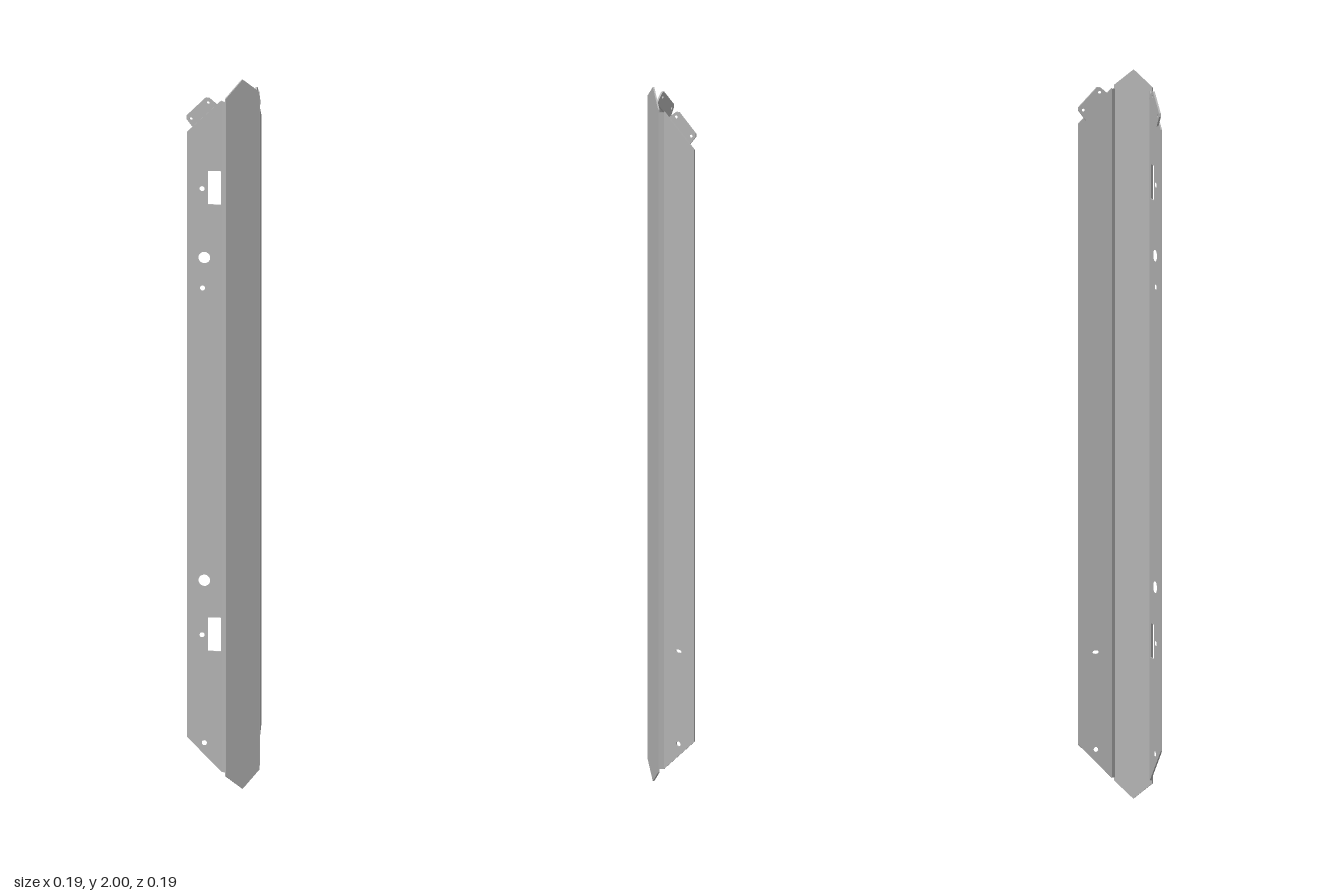
import * as THREE from 'three';

const T = 0.004; // sheet thickness

export function createModel() {
  const model = new THREE.Group();
  const steel = new THREE.MeshStandardMaterial({ color: 0xb2b2b2 });
  steel.name = 'sheet steel grey';

  const add = (parent, name, geometry) => {
    const mesh = new THREE.Mesh(geometry, steel);
    mesh.name = name;
    parent.add(mesh);
    return mesh;
  };
  const outline = pts => new THREE.Shape(pts.map(p => new THREE.Vector2(...p)));
  // Flat sheet centred on the plane z
  const sheet = (shape, z, depth = T) =>
    new THREE.ExtrudeGeometry(shape, { depth, bevelEnabled: false, curveSegments: 10 }).translate(0, 0, z - depth / 2);
  const ellipse = (x, y, rx, ry = rx) => new THREE.Path().absellipse(x, y, rx, ry, 0, Math.PI * 2, true);
  const rect = (x0, y0, x1, y1) => new THREE.Path([[x0, y0], [x1, y0], [x1, y1], [x0, y1]].map(p => new THREE.Vector2(...p)));

  // Diagonal centre panel with pointed ends
  const hw = 0.0575;
  const panel = add(model, 'centrePanel', sheet(outline([
    [-hw, 0.045], [0, 0], [hw, 0.045], [hw, 1.955], [0, 2], [-hw, 1.955],
  ]), 0));
  panel.rotation.y = Math.PI / 4;
  panel.position.set(0.0523, 0, 0.0523);

  // Side wing: flange, joggle strip and corner tab; s is the side it extends to
  const wing = (name, s, holes) => {
    const group = new THREE.Group();
    group.name = name;

    const flange = outline([[0, 0.055], [s * 0.095, 0.15], [s * 0.095, 1.855], [0, 1.948]]);
    flange.holes.push(...holes);
    add(group, 'flange', sheet(flange, 0.083));

    // Short bend joining flange to centre panel
    const dx = -s * 0.0125, dz = 0.0095;
    const bend = add(group, 'bendStrip', new THREE.BoxGeometry(Math.hypot(dx, dz) + 0.002, 1.89, T));
    bend.position.set(dx / 2, 1.0, 0.083 + dz / 2);
    bend.rotation.y = -Math.atan(dz / dx);

    // Offset tab along the sloping top edge
    const k = Math.SQRT1_2;
    const onSlope = (a, b) => [s * (0.0475 - (a - b) * k), 1.9025 + (a + b) * k];
    const tab = outline([
      [-0.048, -0.009], [0.046, -0.009], [0.046, 0.004], [0.044, 0.026],
      [0.038, 0.033], [-0.036, 0.033], [-0.043, 0.027], [-0.046, 0.006],
    ].map(p => onSlope(...p)));
    for (const a of [-0.033, 0.033]) tab.holes.push(ellipse(...onSlope(a, 0.018), 0.004));
    add(group, 'cornerTab', sheet(tab, 0.0785, 0.005));

    model.add(group);
    return group;
  };

  // Right wing: two windows, two large holes and small fixing holes
  wing('rightWing', -1, [
    rect(-0.037, 1.653, -0.001, 1.748),
    rect(-0.037, 0.394, -0.001, 0.489),
    ellipse(-0.047, 1.503, 0.016),
    ellipse(-0.047, 0.593, 0.016),
    ...[[-0.053, 1.697], [-0.052, 1.417], [-0.053, 0.439], [-0.047, 0.135]].map(([x, y]) => ellipse(x, y, 0.007)),
  ]);

  // Left wing: a row of small slots and holes
  wing('leftWing', 1, [
    ...[1.603, 1.204, 0.802, 0.402].map(y => ellipse(0.046, y, 0.009, 0.005)),
    ...[1.416, 1.363, 0.135].map(y => ellipse(0.045, y, 0.007)),
  ]).rotation.y = Math.PI / 2;

  return model;
}
